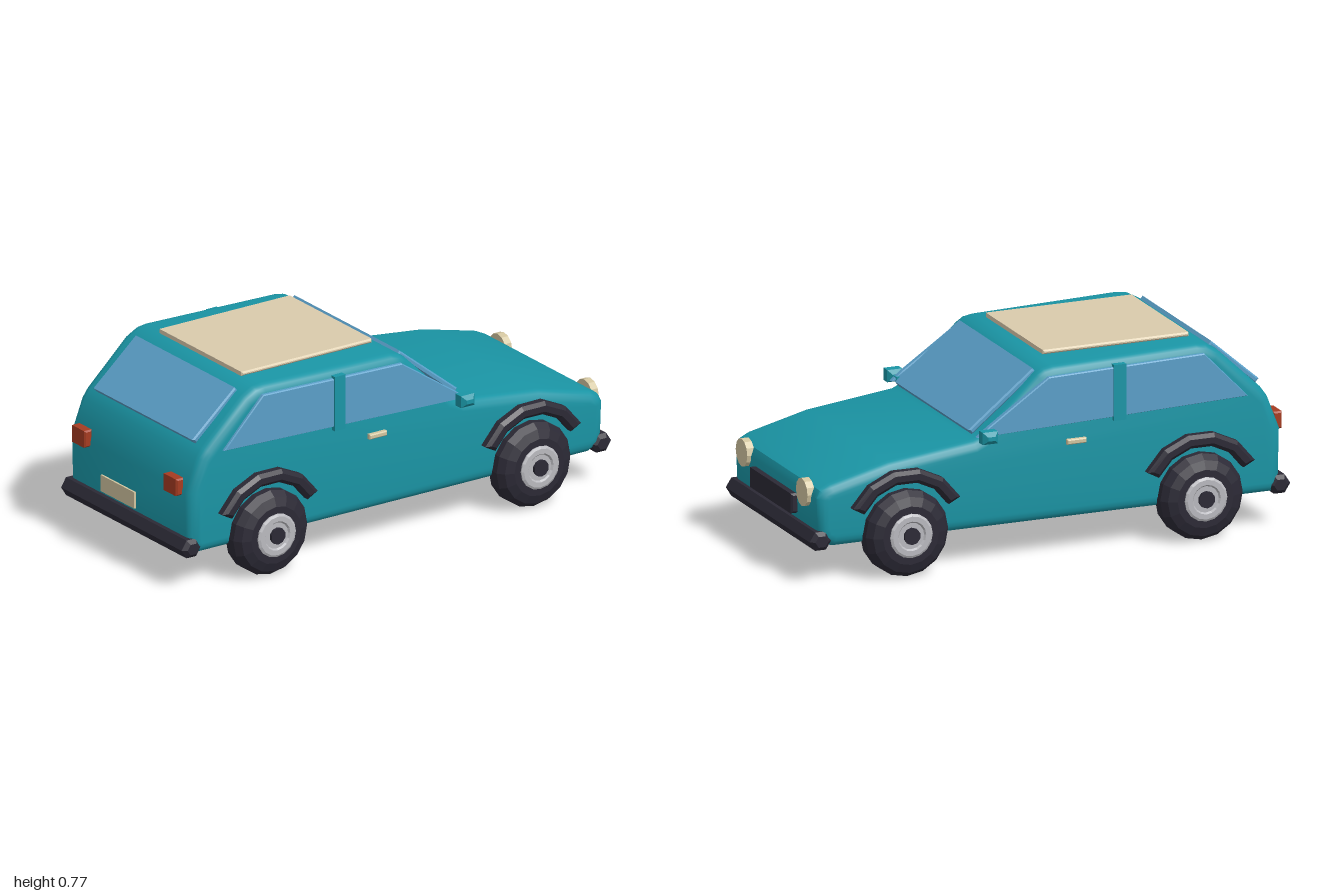
import * as THREE from 'three';
import { toCreasedNormals } from 'three/addons/utils/BufferGeometryUtils.js';

const paint = (color, flatShading = true) => new THREE.MeshStandardMaterial({ color, flatShading });
const TEAL = paint(0x1a95a5), TEAL_SMOOTH = paint(0x1a95a5, false), GLASS = paint(0x5a9fc8);
const DARK = paint(0x2b2935), CREAM = paint(0xd9caab), METAL = paint(0xb9b9be), RED = paint(0xa53c22);
const LAMP = paint(0xd2c5a0);

// Side outline (x, y) extruded across z, bevel kept inside the outline
function slab(points, z0, z1, bevel, segments = 1) {
  const shape = new THREE.Shape(points.map(([x, y]) => new THREE.Vector2(x, y)));
  const g = new THREE.ExtrudeGeometry(shape, {
    depth: z1 - z0 - 2 * bevel, bevelEnabled: bevel > 0, bevelThickness: bevel,
    bevelSize: bevel, bevelOffset: -bevel, bevelSegments: segments,
  });
  return g.translate(0, 0, z0 + bevel);
}

const rect = (w, h) => [[-w / 2, -h / 2], [w / 2, -h / 2], [w / 2, h / 2], [-w / 2, h / 2]];
const bevelBox = (w, h, d, bevel) => slab(rect(w, h), -d / 2, d / 2, bevel);

export function createModel() {
  const car = new THREE.Group();
  car.name = 'car';

  function add(name, geometry, material, x = 0, y = 0, z = 0, parent = car) {
    const mesh = new THREE.Mesh(geometry, material);
    mesh.name = name;
    mesh.position.set(x, y, z);
    parent.add(mesh);
    return mesh;
  }

  // Body shell
  const outline = [
    [-0.91, 0.14], [0.9, 0.14], [0.945, 0.165], [0.96, 0.21], [0.965, 0.335], [0.95, 0.365], [0.91, 0.385],
    [0.67, 0.445], [0.32, 0.487], [0.27, 0.51], [0.06, 0.715], [0.03, 0.735], [-0.01, 0.742], [-0.6, 0.757],
    [-0.64, 0.752], [-0.69, 0.725], [-0.87, 0.555], [-0.895, 0.52], [-0.945, 0.39], [-0.94, 0.17],
  ];
  add('body', toCreasedNormals(slab(outline, -0.407, 0.407, 0.042, 4), 0.6), TEAL_SMOOTH);

  // Sunroof panel
  add('sunroof', bevelBox(0.6, 0.017, 0.55, 0.006), CREAM, -0.318, 0.764, 0);

  // Sloped windscreen and rear window
  function slopedGlass(name, [x0, y0], [x1, y1], width) {
    const pane = add(name, bevelBox(Math.hypot(x1 - x0, y1 - y0), 0.024, width, 0.006), GLASS,
      (x0 + x1) / 2, (y0 + y1) / 2, 0);
    pane.rotation.z = Math.atan2(y1 - y0, x1 - x0);
  }
  slopedGlass('windscreen', [0.05, 0.722], [0.315, 0.51], 0.705);
  slopedGlass('rearWindow', [-0.875, 0.565], [-0.68, 0.735], 0.66);

  // Bumpers, hexagonal in section with tapered ends
  const bumper = [[-0.045, 0], [-0.022, -0.036], [0.022, -0.036], [0.045, 0], [0.022, 0.036], [-0.022, 0.036]];
  add('frontBumper', slab(bumper, -0.412, 0.412, 0.015), DARK, 0.952, 0.17, 0);
  add('rearBumper', slab(bumper, -0.412, 0.412, 0.015), DARK, -0.937, 0.17, 0);

  // Grille and number plate
  add('grille', bevelBox(0.05, 0.078, 0.4, 0.008), DARK, 0.962, 0.266, 0);
  add('numberPlate', new THREE.BoxGeometry(0.008, 0.066, 0.22), LAMP, -0.996, 0.285, 0);

  // Wheel parts, axis turned along z with the outer face towards +z
  const lathe = (pts, sides) => new THREE.LatheGeometry(pts.map(([r, a]) => new THREE.Vector2(r, a)), sides)
    .rotateX(Math.PI / 2);
  const tyre = lathe([[0, 0.345], [0.115, 0.345], [0.15, 0.36], [0.17, 0.382], [0.17, 0.435], [0.15, 0.462],
    [0.115, 0.475], [0.085, 0.475], [0.08, 0.468], [0, 0.468]], 16);
  const rim = lathe([[0, 0.465], [0.087, 0.465], [0.087, 0.48], [0.078, 0.485], [0.058, 0.485],
    [0.052, 0.478], [0, 0.478]], 16);
  const hub = lathe([[0, 0.47], [0.033, 0.47], [0.033, 0.49], [0, 0.49]], 10);

  // Wheel arch: angular band over the wheel
  const arc = (r) => Array.from({ length: 6 }, (_, i) => {
    const a = THREE.MathUtils.degToRad(28 + i * 24.8);
    return [r * Math.cos(a), r * Math.sin(a)];
  });
  const arch = slab([...arc(0.25), ...arc(0.197).reverse()], 0.385, 0.447, 0.014);

  // Everything that repeats left and right
  const sideWindow = [[-0.8, 0.54], [0.315, 0.505], [0.27, 0.54], [0.02, 0.71], [-0.62, 0.727]];
  for (const s of [1, -1]) {
    const side = new THREE.Group();
    side.name = s > 0 ? 'leftSide' : 'rightSide';
    if (s < 0) side.rotation.y = Math.PI;
    car.add(side);
    // The far side is turned half round, so its lengthwise positions flip
    const put = (name, geometry, material, x, y, z) => add(name, geometry, material, s * x, y, z, side);

    const glass = slab(sideWindow.map(([x, y]) => [s * x, y]), 0.395, 0.42, 0.004);
    put('sideWindow', glass, GLASS, 0, 0, 0);
    put('doorPillar', new THREE.BoxGeometry(0.05, 0.22, 0.03), TEAL, -0.27, 0.618, 0.41);
    put('doorHandle', bevelBox(0.08, 0.02, 0.022, 0.004), LAMP, -0.093, 0.446, 0.415);
    put('mirror', bevelBox(0.062, 0.048, 0.068, 0.016), TEAL, 0.285, 0.516, 0.452);
    put('mirrorArm', new THREE.BoxGeometry(0.025, 0.02, 0.04), TEAL, 0.285, 0.512, 0.41);

    for (const [end, x] of [['front', 0.613], ['rear', -0.6]]) {
      put(end + 'Tyre', tyre, DARK, x, 0.172, 0);
      put(end + 'Rim', rim, METAL, x, 0.172, 0);
      put(end + 'Hub', hub, DARK, x, 0.172, 0);
      put(end + 'WheelArch', arch, DARK, x, 0.172, 0);
    }

    const lamp = new THREE.CylinderGeometry(0.055, 0.055, 0.03, 12).rotateZ(Math.PI / 2);
    put('headlight', lamp, LAMP, 0.966, 0.336, 0.285);
    put('tailLight', bevelBox(0.035, 0.068, 0.09, 0.006), RED, -0.953, 0.405, 0.302);
  }
  return car;
}
